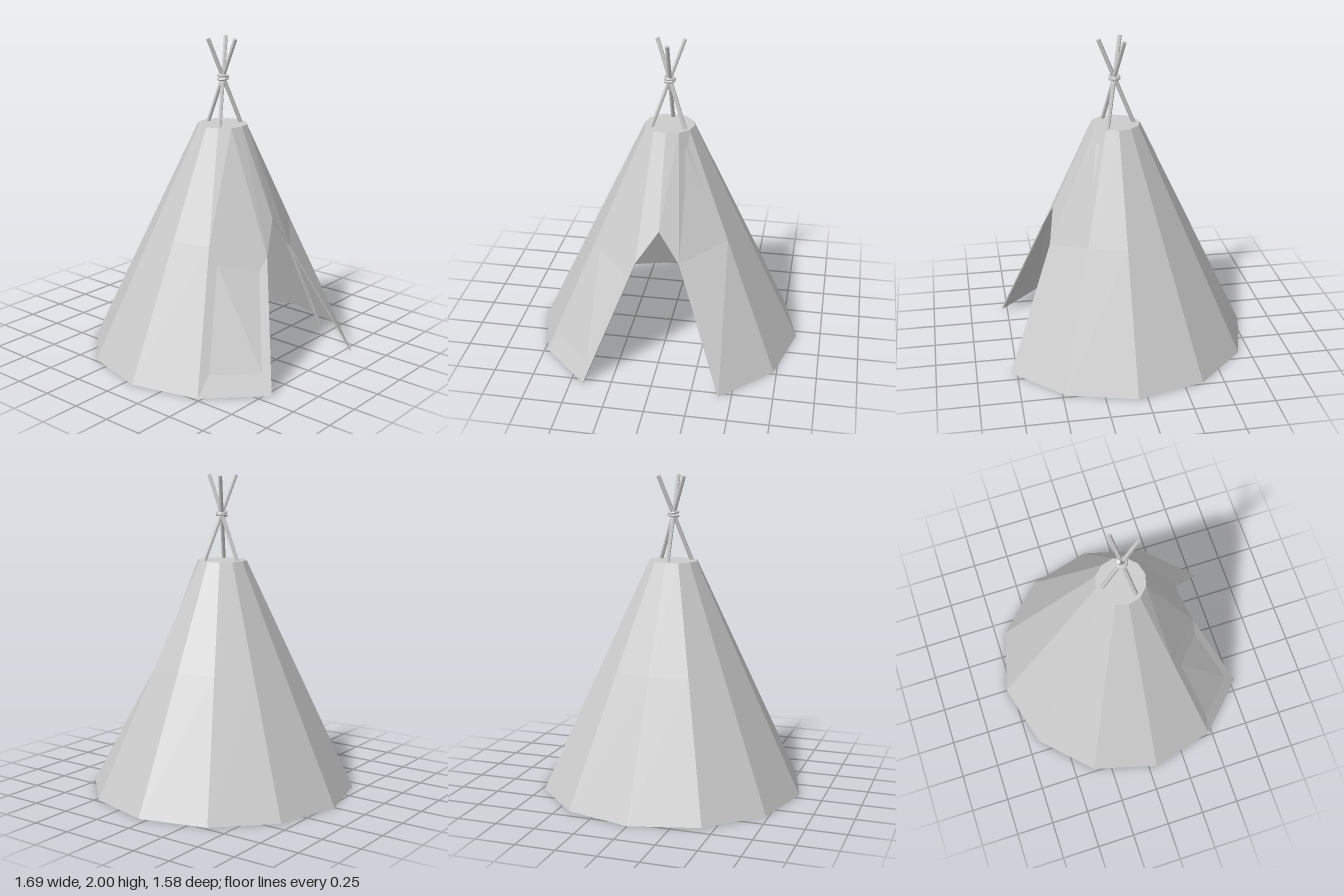
import * as THREE from 'three';

const CZ = 0.055;                 // z of the tent axis
const R0 = 0.845, R1 = 0.155, H = 1.465, SIDES = 12, WALL = 0.01;

const material = new THREE.MeshStandardMaterial({ color: 0xcccccc, flatShading: true });
const clothMaterial = material.clone();
clothMaterial.side = THREE.DoubleSide;

// point on the cone at side k (0 = front) and height y
function conePoint(k, y) {
  const a = (k / SIDES) * Math.PI * 2;
  const r = THREE.MathUtils.lerp(R0, R1, y / H);
  return new THREE.Vector3(Math.sin(a) * r, y, CZ + Math.cos(a) * r);
}

function add(group, geometry, name, mat = material) {
  const mesh = new THREE.Mesh(geometry, mat);
  mesh.name = name;
  group.add(mesh);
  return mesh;
}

// twelve-sided cover, open at the front, with thin walls
function coverGeometry() {
  const outer = [];
  for (let k = 0; k <= SIDES; k++) {
    let mid = conePoint(k, 0.81);
    if (k === 0 || k === SIDES) mid = new THREE.Vector3(0, 0.925, 0.455);   // door peak
    if (k === 1) mid = new THREE.Vector3(0.13, 0.73, 0.493);                // door shoulders
    if (k === SIDES - 1) mid = new THREE.Vector3(-0.135, 0.73, 0.52);
    outer.push([conePoint(k, 0), mid, conePoint(k, H)]);
  }
  const inset = (p) => {
    const d = new THREE.Vector3(-p.x, 0, CZ - p.z).setLength(WALL);
    return p.clone().add(d);
  };
  const inner = outer.map((column) => column.map(inset));

  const positions = [];
  const quad = (a, b, c, d) => {
    for (const p of [a, b, c, a, c, d]) positions.push(p.x, p.y, p.z);
  };
  for (let k = 0; k < SIDES; k++) {
    const isDoor = k === 0 || k === SIDES - 1;
    for (let row = isDoor ? 1 : 0; row < 2; row++) {
      quad(outer[k][row], outer[k + 1][row], outer[k + 1][row + 1], outer[k][row + 1]);
      quad(inner[k + 1][row], inner[k][row], inner[k][row + 1], inner[k + 1][row + 1]);
    }
  }
  // hem along the door and the ground
  const path = [[0, 1], [1, 1]];
  for (let k = 1; k < SIDES; k++) path.push([k, 0]);
  path.push([SIDES - 1, 1], [SIDES, 1]);
  for (let i = 0; i < path.length - 1; i++) {
    const [k, r] = path[i], [m, s] = path[i + 1];
    quad(inner[k][r], inner[m][s], outer[m][s], outer[k][r]);
  }
  const geometry = new THREE.BufferGeometry();
  geometry.setAttribute('position', new THREE.Float32BufferAttribute(positions, 3));
  geometry.computeVertexNormals();
  return geometry;
}

export function createModel() {
  const model = new THREE.Group();
  model.name = 'tent';

  add(model, coverGeometry(), 'cover', clothMaterial);

  const top = add(model, new THREE.CircleGeometry(R1, SIDES), 'coverTop', clothMaterial);
  top.rotation.x = -Math.PI / 2;
  top.position.set(0, H, CZ);

  // three poles crossing above the cover
  const crossing = new THREE.Vector3(0, 1.755, CZ + 0.003);
  const slope = 0.405;
  ['leftPole', 'backPole', 'rightPole'].forEach((name, i) => {
    const a = Math.PI / 3 + (i * Math.PI * 2) / 3;
    const at = (y) => {
      const r = (crossing.y - y) * slope;
      return new THREE.Vector3(Math.sin(a) * r, y, crossing.z + Math.cos(a) * r);
    };
    const low = at(0.005), high = at(1.995);
    const axis = high.clone().sub(low);
    const pole = add(model, new THREE.CylinderGeometry(0.013, 0.013, axis.length(), 6), name);
    pole.position.copy(low).add(high).multiplyScalar(0.5);
    pole.quaternion.setFromUnitVectors(new THREE.Vector3(0, 1, 0), axis.normalize());
  });

  // rope wound round the crossing
  const lashing = new THREE.Group();
  lashing.name = 'lashing';
  lashing.position.copy(crossing);
  [[-0.008, 0.15], [0.008, -0.18]].forEach(([y, tilt]) => {
    const turn = add(lashing, new THREE.TorusGeometry(0.029, 0.009, 6, 12), 'ropeTurn');
    turn.rotation.set(Math.PI / 2, tilt, 0);
    turn.position.y = y;
  });
  model.add(lashing);

  return model;
}
